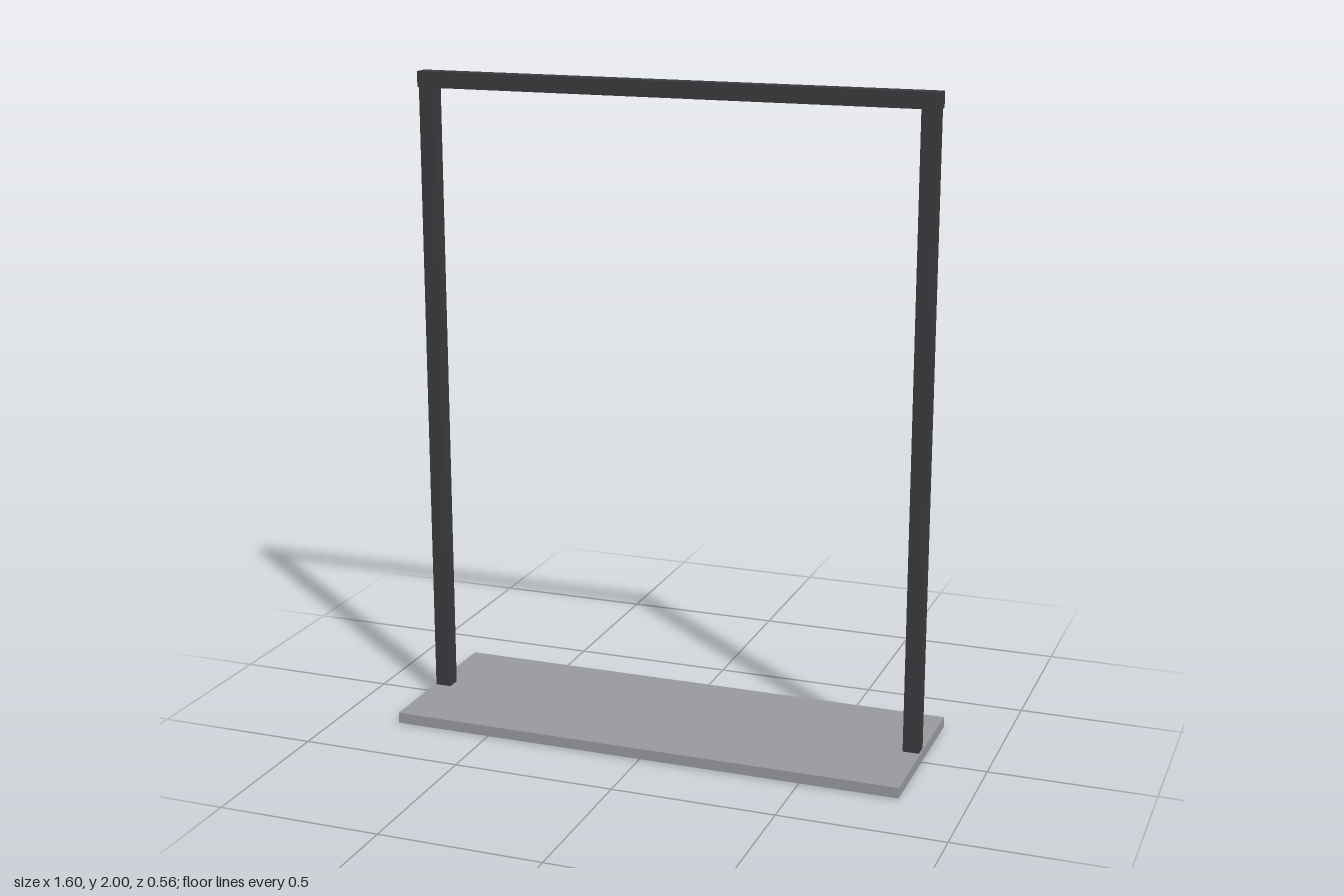
import * as THREE from 'three';

export function createModel() {
  const group = new THREE.Group();
  const frame = new THREE.MeshStandardMaterial({ color: 0x3a3a3e });
  const plate = new THREE.MeshStandardMaterial({ color: 0x97999d });

  // Box given by its size and the height of its underside
  const addBox = (name, w, h, d, x, bottom, material) => {
    const mesh = new THREE.Mesh(new THREE.BoxGeometry(w, h, d), material);
    mesh.name = name;
    mesh.position.set(x, bottom + h / 2, 0);
    group.add(mesh);
  };

  // Flat base plate, just clear of the ground
  addBox('basePlate', 1.604, 0.033, 0.556, 0, 0.003, plate);

  // Upright posts, passing through the plate down to the ground
  for (const [side, name] of [[1, 'leftPost'], [-1, 'rightPost']]) {
    addBox(name, 0.05, 1.953, 0.046, side * 0.772, 0, frame);
  }

  // Top rail, a little thicker than the posts
  addBox('topRail', 1.602, 0.048, 0.05, 0, 1.952, frame);

  return group;
}
